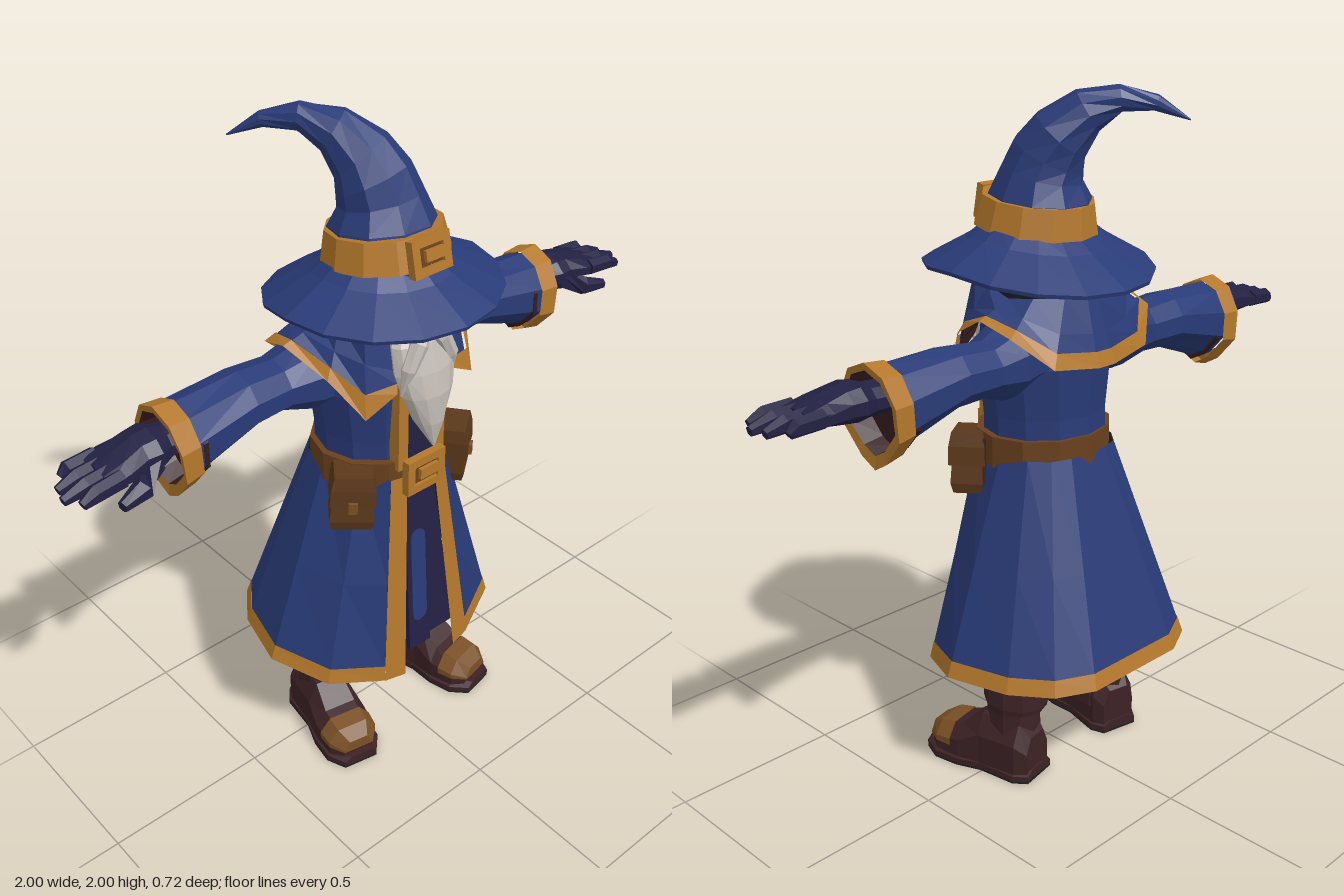
import * as THREE from 'three';

const V = (x, y, z) => new THREE.Vector3(x, y, z);
const paint = (name, color, side = THREE.FrontSide) => {
  const m = new THREE.MeshStandardMaterial({ color, side, flatShading: true });
  m.name = name;
  return m;
};

// Plain triangle soup with fresh normals
function solid(geo) {
  const g = geo.index ? geo.toNonIndexed() : geo;
  g.deleteAttribute('uv');
  g.computeVertexNormals();
  return g;
}

// Reverse the winding of every triangle
function flip(geo) {
  const p = geo.attributes.position;
  for (let i = 0; i < p.count; i += 3) {
    const a = V(p.getX(i + 1), p.getY(i + 1), p.getZ(i + 1));
    p.setXYZ(i + 1, p.getX(i + 2), p.getY(i + 2), p.getZ(i + 2));
    p.setXYZ(i + 2, a.x, a.y, a.z);
  }
  geo.computeVertexNormals();
  return geo;
}

// Skin a list of rings; faces are turned away from the centre (or towards it)
function loft(rings, { closed = true, caps = true, inward = false, centre } = {}) {
  const tris = [], n = rings[0].length;
  for (let i = 0; i + 1 < rings.length; i++) {
    for (let j = 0; j < (closed ? n : n - 1); j++) {
      const k = (j + 1) % n, [a, b, c, d] = [rings[i][j], rings[i][k], rings[i + 1][k], rings[i + 1][j]];
      tris.push(a, b, c, a, c, d);
    }
  }
  if (closed && caps) {
    const first = rings[0], last = rings[rings.length - 1];
    for (let j = 1; j + 1 < n; j++) tris.push(first[0], first[j + 1], first[j], last[0], last[j], last[j + 1]);
  }
  const geo = new THREE.BufferGeometry().setFromPoints(tris);
  geo.computeBoundingBox();
  const mid = centre || geo.boundingBox.getCenter(V(0, 0, 0));
  let volume = 0;
  for (let i = 0; i < tris.length; i += 3) {
    const [a, b, c] = [0, 1, 2].map((k) => tris[i + k].clone().sub(mid));
    volume += a.dot(b.cross(c));
  }
  if ((volume < 0) !== inward) flip(geo);
  return geo;
}

// Ring of n points from a rule of angle (0 = front, quarter turn = +x)
const ring = (n, rule) => Array.from({ length: n }, (_, i) => rule((i / n) * Math.PI * 2));
const oval = (n, x, y, z, rx, rz) => ring(n, (a) => V(x + rx * Math.sin(a), y, z + rz * Math.cos(a)));

// Tapered tube through rows of [x, y, z, radius]
function sweep(rows, n = 10) {
  const pts = rows.map((r) => V(r[0], r[1], r[2]));
  return loft(rows.map((r, i) => {
    const t = pts[Math.min(i + 1, pts.length - 1)].clone().sub(pts[Math.max(i - 1, 0)]).normalize();
    const side = Math.abs(t.x) > 0.8 ? V(0, 1, 0) : V(1, 0, 0);
    const u = side.addScaledVector(t, -side.dot(t)).normalize(), v = t.clone().cross(u);
    return ring(n, (a) => pts[i].clone().addScaledVector(u, r[3] * Math.cos(a)).addScaledVector(v, r[3] * Math.sin(a)));
  }));
}

export function createModel() {
  const blue = paint('robe blue', 0x293b77, THREE.DoubleSide), gold = paint('trim gold', 0xb4782b, THREE.DoubleSide);
  const leather = paint('belt brown', 0x69401d), pouchBrown = paint('pouch brown', 0x5a381a);
  const maroon = paint('boot maroon', 0x3c2225), lining = paint('lining dark red', 0x351c1e);
  const navy = paint('glove navy', 0x232143), black = paint('shadow black', 0x202020);
  const white = paint('beard white', 0xc4bdb6), tan = paint('toe tan', 0x7a5024);
  const model = new THREE.Group();
  const add = (name, geo, mat) => {
    const m = new THREE.Mesh(solid(geo), mat);
    m.name = name;
    model.add(m);
  };
  const pair = (name, geo, mat) => {
    const g = solid(geo);
    add(name + 'Left', g, mat);
    add(name + 'Right', flip(g.clone().scale(-1, 1, 1)), mat);
  };
  const box = (w, h, d, x, y, z) => new THREE.BoxGeometry(w, h, d).translate(x, y, z);

  // Mirrored open panel between an inner and an outer edge: rows of [x, y, z, x, y, z]
  const bothSides = (half) => [...half, ...half.map((r) => [-r[0], r[1], r[2], -r[3], r[4], r[5]]).reverse()];
  const panel = (rows, steps, grow, opts) => loft(steps.map((t) => rows.map((r) => V(
    (r[0] + (r[3] - r[0]) * t) * grow, r[1] + (r[4] - r[1]) * t, (r[2] + (r[5] - r[2]) * t) * grow))),
  { closed: false, ...opts });

  // Skirt, open at the front
  const skirt = bothSides([
    [.05, .99, .197, .10, .30, .257], [.10, .99, .185, .17, .305, .243], [.16, .99, .12, .33, .34, .17],
    [.195, .99, 0, .41, .37, 0], [.175, .99, -.09, .36, .37, -.19], [.13, .99, -.14, .28, .37, -.30],
    [.07, .99, -.16, .17, .37, -.355]]);
  const core = { centre: V(0, .65, -.02) };
  const cloth = skirt.slice(1, -1);
  add('skirt', panel(cloth, [0, .5, .93], 1, core), blue);
  add('skirtHem', panel(cloth, [.925, 1], 1.005, core), gold);
  add('skirtEdgeLeft', panel(skirt.slice(0, 2), [0, 1], 1.01, core), gold);
  add('skirtEdgeRight', panel(skirt.slice(-2), [0, 1], 1.01, core), gold);
  add('skirtLining', panel(skirt, [0, .5, .93, 1], .985, { ...core, inward: true }), lining);

  // Inner robe showing in the opening, lined behind
  const curtain = (back, front) => loft([[.97, .075, .165], [.34, .15, .2]].map(([y, w, z]) =>
    [[w, front], [w, back], [-w, back], [-w, front]].map(([x, d]) => V(x, y, z + d))));
  add('innerRobe', curtain(-.01, 0), navy);
  add('innerRobeLining', curtain(-.016, -.011), lining);
  const tab = box(.085, .63, .015, 0, 0, 0).rotateX(-.06);
  add('innerTab', tab.translate(0, .645, .19), navy);
  const stripe = new THREE.Shape().absarc(0, .14, .028, 0, Math.PI).absarc(0, -.14, .028, Math.PI, Math.PI * 2);
  add('innerStripe', new THREE.ExtrudeGeometry(stripe, { depth: .008, bevelEnabled: false, curveSegments: 4 })
    .rotateX(-.06).translate(0, .6, .196), blue);

  // Torso and chest edging
  add('torso', loft([
    [.98, .185, .175], [1.1, .19, .17], [1.25, .21, .18], [1.36, .2, .165], [1.45, .12, .11],
  ].map(([y, rx, rz]) => oval(12, 0, y, .012, rx, rz))), blue);
  add('chestPanel', box(.1, .28, .04, 0, 1.16, .175), navy);
  pair('chestEdge', box(.035, .28, .04, .068, 1.16, .18), gold);

  // Shoulder mantle with gold border
  const mantle = bothSides([
    [.07, 1.40, .17, .10, 1.29, .205], [.15, 1.53, .13, .19, 1.235, .185], [.175, 1.47, .06, .245, 1.34, .10],
    [.175, 1.445, -.02, .285, 1.405, -.03], [.15, 1.45, -.09, .27, 1.37, -.13], [.09, 1.45, -.15, .18, 1.28, -.20],
    [.02, 1.44, -.17, .03, 1.26, -.22]]);
  const neck = { centre: V(0, 1.2, 0) };
  add('mantle', panel(mantle, [0, .5, .8], 1, neck), blue);
  add('mantleBorder', panel(mantle, [.76, 1], 1.03, neck), gold);
  add('mantleLining', panel(mantle, [0, .5, .8, 1], .985, { ...neck, inward: true }), lining);

  // Sleeves: drooping sections of [x, top, bottom, front, back, lean]
  const section = ([x, top, bottom, front, back, lean = 0]) => ring(10, (a) => {
    const c = Math.cos(a), narrow = c < -.5 ? .72 : 1;
    return V(x + lean * c, (top + bottom) / 2 + c * (top - bottom) / 2,
      (front + back) / 2 + Math.sin(a) * narrow * (front - back) / 2);
  });
  pair('sleeve', loft([[.1, 1.38, 1.2, .08, -.13], [.22, 1.395, 1.17, .06, -.15], [.31, 1.36, 1.2, .03, -.145],
    [.43, 1.37, 1.195, .04, -.15], [.64, 1.365, 1.12, .055, -.15]].map(section), { caps: false }), blue);
  pair('cuff', loft([[.625, 1.372, 1.105, .062, -.157, .006], [.685, 1.378, 1.09, .068, -.162, .011],
    [.683, 1.358, 1.128, .05, -.144, .011]].map(section), { caps: false }), gold);
  pair('cuffLining', loft([[.683, 1.358, 1.128, .05, -.144, .011], [.61, 1.35, 1.14, .045, -.14]].map(section),
    { caps: false, inward: true }), lining);
  pair('cuffInside', loft([[.6, 1.36, 1.12, .055, -.15], [.615, 1.36, 1.12, .055, -.15]].map(section)), lining);

  // Gloved hands
  pair('palm', loft([[.58, 1.32, 1.23, .02, -.09], [.69, 1.325, 1.23, .025, -.09], [.73, 1.34, 1.225, .05, -.11],
    [.77, 1.335, 1.23, .045, -.105], [.83, 1.318, 1.24, .06, -.11], [.89, 1.3, 1.245, .06, -.11]].map(section)), navy);
  for (let i = 0; i < 4; i++) {
    const z = -.085 + i * .042, reach = [.95, .985, .997, .97][i];
    pair('finger' + (i + 1), sweep([[.85, 1.28, z, .026], [.93, 1.276, z * 1.05 + .005, .025], [reach, 1.262, z * 1.08 + .008, .014]], 6), navy);
  }
  pair('thumb', sweep([[.75, 1.265, .02, .034], [.81, 1.24, .065, .03], [.88, 1.23, .082, .016]], 6), navy);

  // Belt, buckle and pouches
  add('belt', loft([.955, 1.045].map((y) => oval(12, 0, y, .018, .207, .188))), leather);
  const buckle = (name, w, h, y, z, tilt) => {
    const s = new THREE.Shape([[-1, -1], [1, -1], [1, 1], [-1, 1]].map(([x, v]) => new THREE.Vector2(x * w, v * h)));
    s.holes.push(new THREE.Path([[-1, -1], [-1, 1], [1, 1], [1, -1]].map(([x, v]) => new THREE.Vector2(x * w * .62, v * h * .55))));
    const place = (g) => g.rotateX(tilt).translate(0, y, z);
    add(name + 'Frame', place(new THREE.ExtrudeGeometry(s, { depth: .025, bevelEnabled: false })), gold);
    add(name + 'Back', place(box(w * 1.7, h * 1.7, .02, 0, 0, .005)), leather);
    add(name + 'Prong', place(box(w * .95, h * .6, .012, w * .15, 0, .02)), gold);
  };
  buckle('beltBuckle', .07, .056, .995, .2, 0);
  const hang = (g) => g.rotateZ(.06).rotateY(.65).translate(.195, 0, .125);
  const pouchPart = (rows) => hang(loft(rows.map(([y, w, d]) =>
    [[w, d], [w, -d], [-w, -d], [-w, d]].map(([x, z]) => V(x + .055, y, z)))));
  pair('pouch', pouchPart([[.86, .056, .04], [.89, .064, .047], [1.03, .05, .038]]), pouchBrown);
  pair('pouchBack', hang(box(.12, .15, .008, .055, .95, -.05)), maroon);
  pair('pouchFlap', pouchPart([[.945, .065, .053], [1.0, .063, .052], [1.04, .055, .045]]), pouchBrown);
  pair('pouchClasp', hang(box(.026, .035, .012, .055, .945, .055)), tan);

  // Legs and boots
  pair('leg', sweep([[.12, .9, -.02, .09], [.175, .27, -.035, .082]], 8), black);
  pair('bootShaft', loft([[.08, .08, .09], [.2, .072, .085], [.24, .075, .088]].map(([y, rx, rz]) => oval(10, .19, y, -.04, rx, rz))), maroon);
  pair('bootCuff', loft([[.21, .086, .1], [.225, .09, .103], [.275, .086, .1], [.295, .083, .096]].map(([y, rx, rz]) =>
    oval(10, .178, y, -.038, rx, rz))), maroon);
  const foot = (rows) => loft(rows.map(([z, w, h, base]) =>
    [[w, base], [w, h * .65], [w * .6, h], [-w * .6, h], [-w, h * .65], [-w, base]].map(([x, y]) => V(x, y, z))))
    .rotateY(.2).translate(.21, 0, 0);
  pair('bootFoot', foot([[-.135, .055, .14, .02], [-.1, .075, .18, .02], [.03, .075, .18, .02], [.1, .085, .125, .02],
    [.18, .08, .105, .02], [.215, .05, .075, .02]]), maroon);
  pair('bootToe', foot([[.13, .086, .12, .055], [.18, .082, .112, .055], [.222, .05, .088, .05]]), tan);
  const sole = (h, base) => foot([[-.142, .06], [-.1, .082], [.02, .076], [.1, .092], [.18, .09], [.235, .055]]
    .map(([z, w]) => [z, w, h, base]));
  pair('bootSole', sole(.035, .006), maroon);
  pair('bootTread', sole(.009, 0), black);

  // Head and eyes
  add('head', new THREE.SphereGeometry(1, 12, 8).scale(.15, .15, .165).translate(0, 1.47, 0), black);
  add('nose', sweep([[0, 1.52, .15, .015], [0, 1.46, .2, .026], [0, 1.44, .19, .012]], 6), black);
  pair('eye', new THREE.SphereGeometry(1, 8, 6).scale(.026, .015, .012).translate(.057, 1.5, .152), white);

  // Beard and moustache
  add('beard', loft([[1.465, .075, .17, .03], [1.42, .103, .185, .045], [1.34, .103, .2, .055], [1.27, .085, .213, .055],
    [1.18, .047, .225, .042], [1.1, .004, .247, .005]].map(([y, w, z, d]) => oval(12, 0, y, z, w, d))), white);
  pair('moustache', sweep([[.005, 1.46, .21, .018], [.04, 1.425, .222, .028], [.075, 1.36, .222, .024], [.09, 1.28, .212, .004]], 8), white);

  // Hat brim: thin, drooping at the back
  const brim = (r, y, drop) => ring(16, (a) => {
    const c = Math.cos(a);
    return V(r * 1.03 * Math.sin(a), y + drop * (c < 0 ? c * 1.8 : -c * .4), .035 + r * c);
  });
  add('hatBrim', loft([brim(.15, 1.635, .02), brim(.2, 1.597, .02), brim(.325, 1.533, .03), brim(.322, 1.522, .03),
    brim(.15, 1.56, .02)]), blue);

  // Hat cone, bending back and to its right
  add('hatCone', sweep([[0, 1.57, .045, .165], [0, 1.7, .03, .146], [.003, 1.76, .02, .117], [-.008, 1.81, .005, .108],
    [-.02, 1.865, -.03, .09], [-.065, 1.93, -.085, .063], [-.125, 1.962, -.15, .038], [-.19, 1.95, -.22, .022],
    [-.255, 1.905, -.285, .002]]), blue);
  add('hatBand', new THREE.CylinderGeometry(.16, .178, .085, 12).rotateX(-.12).translate(0, 1.655, .042), gold);
  buckle('hatBuckle', .065, .05, 1.667, .2, -.2);
  return model;
}
